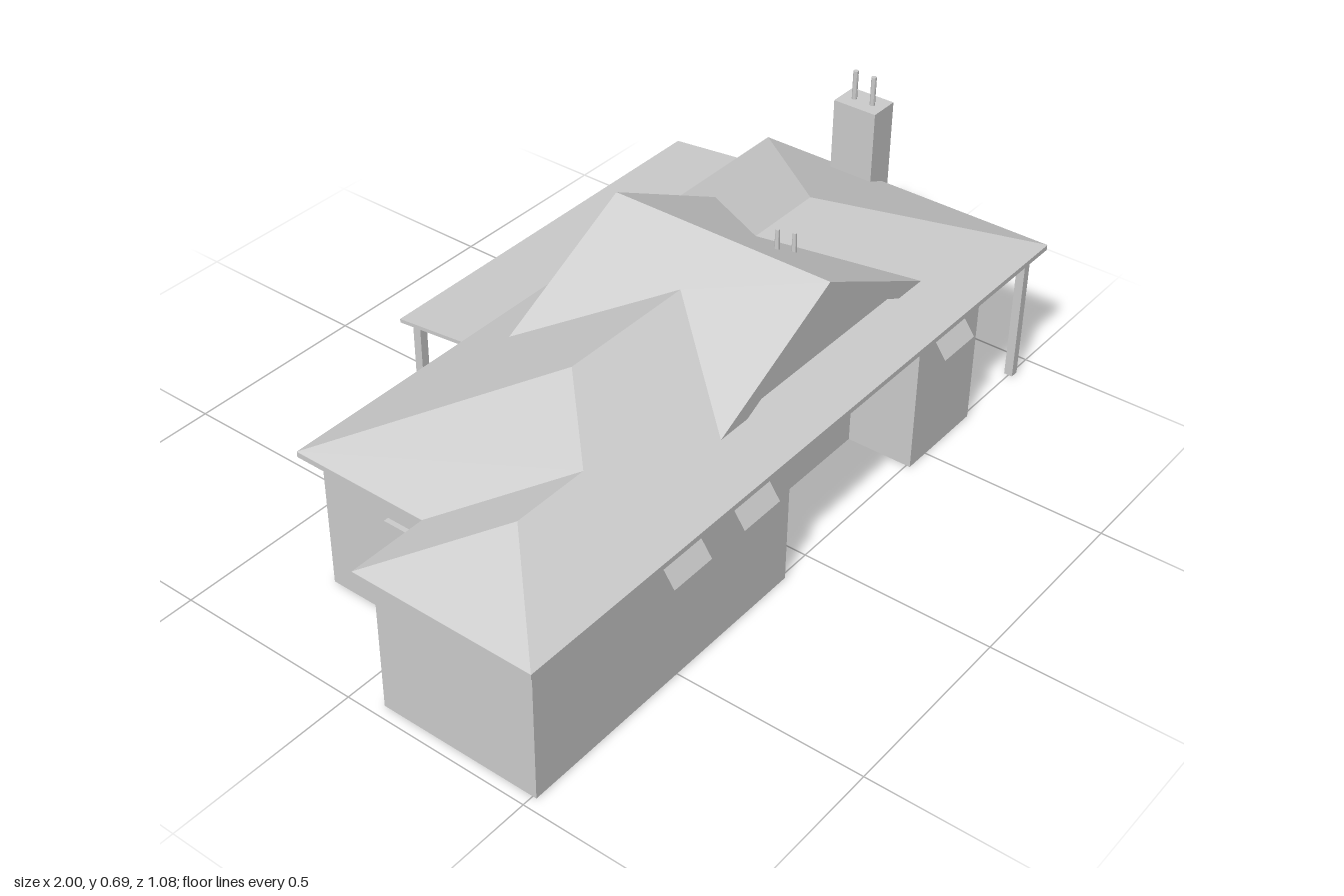
import * as THREE from 'three';

const mat = new THREE.MeshStandardMaterial({ color: 0xcccccc, flatShading: true, side: THREE.DoubleSide });

function add(group, name, geometry, x = 0, y = 0, z = 0) {
  const mesh = new THREE.Mesh(geometry, mat);
  mesh.name = name;
  mesh.position.set(x, y, z);
  group.add(mesh);
  return mesh;
}

const shapeOf = (pts) => new THREE.Shape(pts.map(([a, b]) => new THREE.Vector2(a, b)));

// Sloping panel from [x, y, z] corners, triangulated in plan and facing up
function panel(corners) {
  const plan = corners.map(([x, , z]) => new THREE.Vector2(x, -z));
  if (THREE.ShapeUtils.isClockWise(plan)) {
    plan.reverse();
    corners = [...corners].reverse();
  }
  const geo = new THREE.BufferGeometry();
  geo.setAttribute('position', new THREE.Float32BufferAttribute(corners.flat(), 3));
  geo.setIndex(THREE.ShapeUtils.triangulateShape(plan, []).flat());
  const flat = geo.toNonIndexed();
  flat.computeVertexNormals();
  return flat;
}

// Open band of vertical walls around an [x, z] outline
function wallBand(outline, height) {
  const pos = [];
  outline.forEach(([x, z], i) => {
    const [u, w] = outline[(i + 1) % outline.length];
    pos.push(x, 0, z, u, 0, w, u, height, w, x, 0, z, u, height, w, x, height, z);
  });
  const geo = new THREE.BufferGeometry();
  geo.setAttribute('position', new THREE.Float32BufferAttribute(pos, 3));
  geo.computeVertexNormals();
  return geo;
}

export function createModel() {
  const house = new THREE.Group();
  house.name = 'house';

  // Outer walls with entry recess and covered front corner
  add(house, 'walls', wallBand([
    [-0.97, 0.51], [-0.095, 0.51], [-0.095, 0.33], [0.43, 0.33], [0.43, 0.51], [0.695, 0.51],
    [0.695, 0.16], [0.935, 0.16], [0.935, -0.29], [-0.75, -0.29], [-0.75, 0.08], [-0.97, 0.08],
  ], 0.372));
  add(house, 'entryHeader', new THREE.BoxGeometry(0.525, 0.025, 0.02), 0.1675, 0.36, 0.5);

  // Eave slab with fascia and soffit
  const eave = 0.385, pitch = 0.42;
  const eaves = [[-1, 0.535], [0.97, 0.535], [0.97, -0.325], [-0.79, -0.325], [-0.79, 0.05], [-1, 0.05]];
  const slab = new THREE.ExtrudeGeometry(shapeOf(eaves.map(([x, z]) => [x, -z])), { depth: 0.014, bevelEnabled: false });
  slab.rotateX(-Math.PI / 2);
  add(house, 'eaves', slab, 0, 0.37, 0);

  // Hipped roof slopes, corners as [x, z, distance in from the eave]
  const ridgeL = [-0.36, 0.105, 0.43], ridgeR = [0.54, 0.105, 0.43];
  const wingL = [-0.7575, 0.2925, 0.2425], wingR = [-0.5475, 0.2925, 0.2425];
  const slopes = {
    frontSlope: [[-1, 0.535, 0], [0.97, 0.535, 0], ridgeR, ridgeL, wingR, wingL],
    leftHip: [[0.97, 0.535, 0], [0.97, -0.325, 0], ridgeR],
    backSlope: [[0.97, -0.325, 0], [-0.79, -0.325, 0], ridgeL, ridgeR],
    rightHip: [[-0.79, -0.325, 0], [-0.79, 0.05, 0], wingR, ridgeL],
    wingBackSlope: [[-0.79, 0.05, 0], [-1, 0.05, 0], wingL, wingR],
    wingHip: [[-1, 0.05, 0], [-1, 0.535, 0], wingL],
  };
  for (const [name, pts] of Object.entries(slopes)) {
    add(house, name, panel(pts.map(([x, z, d]) => [x, eave + pitch * d, z])));
  }

  // Raised cross gable: two slopes, trim and recessed gable wall at each end
  const gx = 0.17, peak = 0.64, foot = 0.435, zf = 0.415, zb = -0.2;
  for (const s of [-1, 1]) {
    add(house, 'gableSlope', panel([
      [gx, peak, zb], [gx, peak, zf], [gx + s * 0.4, foot, zf],
      [gx + s * 0.145, 0.566, 0.105], [gx + s * 0.4, foot, zb],
    ]));
  }
  const trim = shapeOf([
    [gx - 0.4, foot], [gx - 0.303, foot], [gx, 0.59], [gx + 0.303, foot], [gx + 0.4, foot], [gx, peak],
  ]);
  const gable = shapeOf([[gx - 0.38, foot], [gx + 0.38, foot], [gx, peak - 0.01]]);
  for (const [z, dir] of [[zf, 1], [zb, -1]]) {
    add(house, 'gableTrim', new THREE.ExtrudeGeometry(trim, { depth: 0.015, bevelEnabled: false }), 0, 0, dir > 0 ? z - 0.015 : z);
    const wall = add(house, 'gableWall', new THREE.ShapeGeometry(gable), 0, 0, z - dir * 0.015);
    if (dir < 0) {
      wall.rotation.y = Math.PI;
      wall.position.x = 2 * gx;
    }
  }

  // Back patio cover on two posts and sloping beams
  const slope = Math.atan2(0.025, 0.24);
  const cover = add(house, 'patioCover', new THREE.BoxGeometry(1.09, 0.01, 0.246), 0.3, 0.362, -0.412);
  cover.rotation.x = -slope;
  for (const x of [-0.215, 0.815]) {
    const beam = add(house, 'patioBeam', new THREE.BoxGeometry(0.02, 0.016, 0.25), x, 0.35, -0.415);
    beam.rotation.x = -slope;
    add(house, 'patioPost', new THREE.BoxGeometry(0.023, 0.345, 0.023), x, 0.1725, -0.499);
  }
  add(house, 'cornerPost', new THREE.BoxGeometry(0.023, 0.372, 0.023), 0.924, 0.186, 0.499);

  // Chimney with a sloped shoulder and two flues
  const stack = new THREE.ExtrudeGeometry(shapeOf([
    [-0.04, 0], [0.118, 0], [0.118, 0.31], [0.085, 0.35], [0.085, 0.605], [-0.04, 0.605],
  ]), { depth: 0.085, bevelEnabled: false });
  stack.rotateY(Math.PI / 2);
  add(house, 'chimney', stack, 0.915, 0, 0);
  for (const z of [0.005, -0.05]) {
    add(house, 'flue', new THREE.CylinderGeometry(0.007, 0.007, 0.085, 10), 0.955, 0.6425, z);
  }

  // Roof vent pipes
  for (const [x, top, z] of [[0.275, 0.64, 0.195], [0.32, 0.615, 0.213]]) {
    add(house, 'ventPipe', new THREE.CylinderGeometry(0.005, 0.008, 0.08, 10), x, top - 0.04, z);
  }

  // Tilted front window panes, hinged at the top
  for (const x of [-0.487, -0.24, 0.565]) {
    const pane = add(house, 'awningWindow', new THREE.PlaneGeometry(0.13, 0.052), x, 0.315, 0.525);
    pane.rotation.x = -Math.atan2(0.03, 0.042);
  }

  // Sliding window on the side wall
  add(house, 'sideWindowPane', new THREE.BoxGeometry(0.02, 0.12, 0.075), -0.753, 0.23, -0.058);
  add(house, 'sideWindowPane', new THREE.BoxGeometry(0.012, 0.12, 0.06), -0.753, 0.23, 0.01);

  return house;
}
